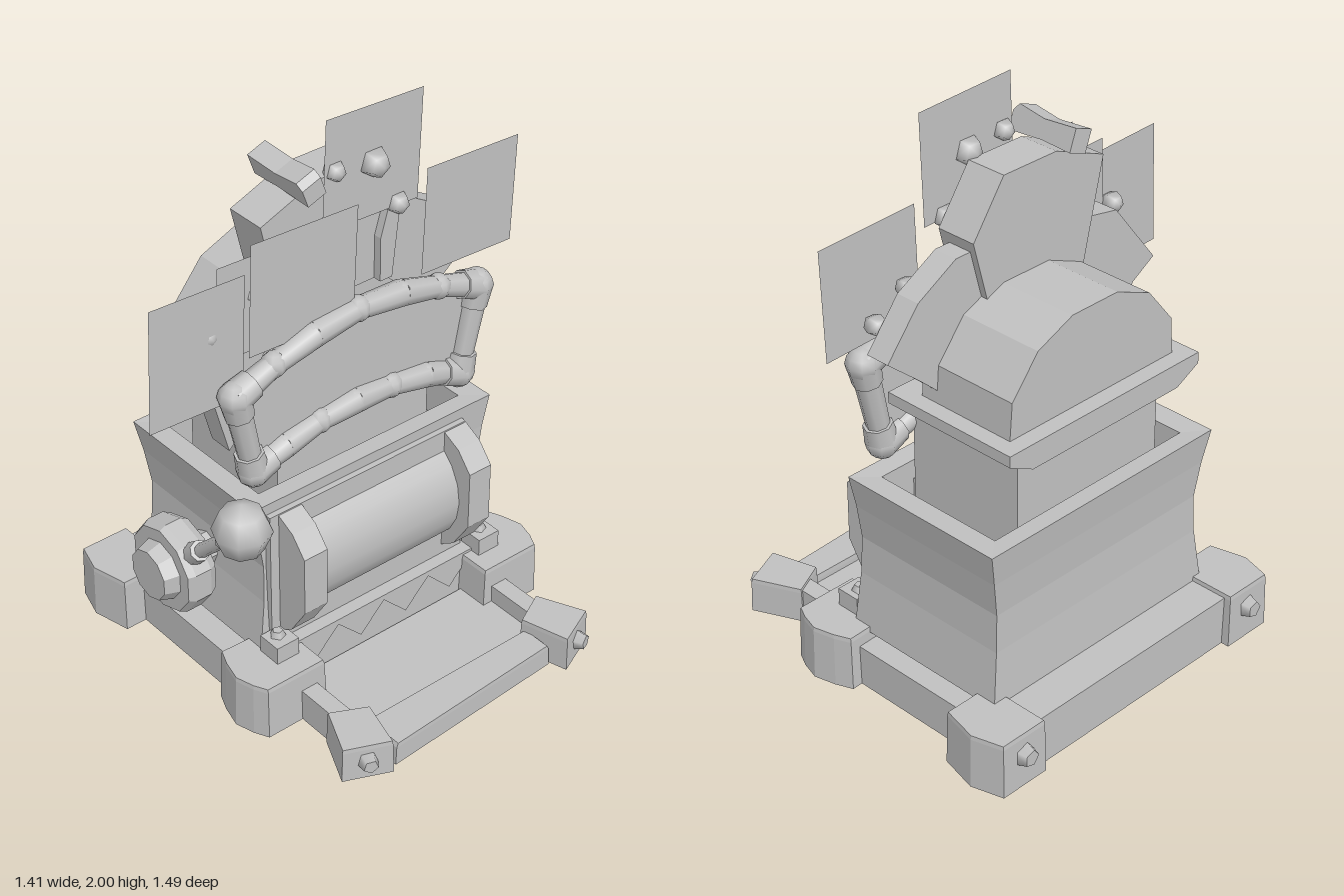
import * as THREE from 'three';

const grey = new THREE.MeshStandardMaterial({ color: 0xc0c0c0, side: THREE.DoubleSide });
grey.name = 'plainGrey';

export function createModel() {
  const root = new THREE.Group();
  const add = (name, geo) => {
    const m = new THREE.Mesh(geo, grey);
    m.name = name;
    root.add(m);
    return m;
  };
  const flat = (g) => {
    const f = g.index ? g.toNonIndexed() : g;
    f.computeVertexNormals();
    return f;
  };
  // Box from its limits
  const box = (name, x0, x1, y0, y1, z0, z1) => add(name,
    new THREE.BoxGeometry(x1 - x0, y1 - y0, z1 - z0).translate((x0 + x1) / 2, (y0 + y1) / 2, (z0 + z1) / 2));
  // Stack of equal-length rings of [x, y, z], open below and capped above
  const loft = (rings) => {
    const n = rings[0].length, pos = [];
    const tri = (...p) => p.forEach((v) => pos.push(...v));
    for (let r = 0; r < rings.length - 1; r++) for (let i = 0; i < n; i++) {
      const j = (i + 1) % n, a = rings[r], b = rings[r + 1];
      tri(a[i], a[j], b[j], a[i], b[j], b[i]);
    }
    const hi = rings[rings.length - 1];
    for (let i = 1; i < n - 1; i++) tri(hi[0], hi[i], hi[i + 1]);
    const g = new THREE.BufferGeometry();
    g.setAttribute('position', new THREE.Float32BufferAttribute(pos, 3));
    g.computeVertexNormals();
    return g;
  };
  // Upright hollow prism over an [x, z] outline, narrower at the top
  const prism = (name, outline, y0, y1, taper) => {
    let area = 0;
    outline.forEach((p, i) => {
      const q = outline[(i + 1) % outline.length];
      area += p[0] * q[1] - q[0] * p[1];
    });
    const o = area > 0 ? [...outline].reverse() : outline;
    const cx = o.reduce((s, p) => s + p[0], 0) / o.length, cz = o.reduce((s, p) => s + p[1], 0) / o.length;
    const ring = (y, k) => o.map(([x, z]) => [cx + (x - cx) * k, y, cz + (z - cz) * k]);
    return add(name, loft([ring(y0, 1), ring(y1 - 0.015, taper), ring(y1, taper - 0.02)]));
  };
  // Hollow rail resting on the ground
  const rail = (name, x0, x1, z0, z1, h) => {
    const ring = (y) => [[x0, y, z1], [x1, y, z1], [x1, y, z0], [x0, y, z0]];
    return add(name, loft([ring(0), ring(h)]));
  };
  // Outline of [z, y] points extruded along x
  const across = (name, pts, x0, x1) => add(name,
    new THREE.ExtrudeGeometry(new THREE.Shape(pts.map(([z, y]) => new THREE.Vector2(-z, y))),
      { depth: x1 - x0, bevelEnabled: false }).rotateY(Math.PI / 2).translate(x0, 0, 0));
  const rod = (name, a, b, r0, r1, sides = 8) => {
    const d = b.clone().sub(a);
    const m = add(name, new THREE.CylinderGeometry(r1, r0, d.length(), sides));
    m.position.copy(a).addScaledVector(d, 0.5);
    m.quaternion.setFromUnitVectors(new THREE.Vector3(0, 1, 0), d.normalize());
    return m;
  };
  const V = (x, y, z) => new THREE.Vector3(x, y, z);
  const CZ = -0.06; // middle of the machine in z

  // Base frame: posts, rails and bolts
  for (const s of [1, -1]) {
    const Z = (d) => CZ + s * d;
    prism('rearPost', [[-0.675, Z(0.635)], [-0.56, Z(0.668)], [-0.42, Z(0.635)], [-0.42, Z(0.445)], [-0.675, Z(0.445)]], 0, 0.2, 0.97);
    prism('frontPost', [[0.06, Z(0.595)], [0.12, Z(0.62)], [0.2, Z(0.64)], [0.27, Z(0.62)], [0.32, Z(0.595)],
      [0.32, Z(0.35)], [0.07, Z(0.35)]], 0, 0.2, 0.96);
    rail('sideRail', -0.44, 0.09, Math.min(Z(0.43), Z(0.555)), Math.max(Z(0.43), Z(0.555)), 0.15);
    rod('rearBolt', V(-0.66, 0.12, Z(0.54)), V(-0.705, 0.12, Z(0.54)), 0.045, 0.03, 5);
    box('boltBlock', 0.145, 0.235, 0.19, 0.265, Z(0.445) - 0.045, Z(0.445) + 0.045);
    rod('topBolt', V(0.18, 0.26, Z(0.445)), V(0.18, 0.287, Z(0.445)), 0.03, 0.018, 5);
    // Tray corners
    prism('trayPost', [[0.455, Z(0.465)], [0.63, Z(0.545)], [0.7, Z(0.385)], [0.52, Z(0.335)]], 0, 0.13, 0.97);
    rod('trayBolt', V(0.64, 0.07, Z(0.455)), V(0.695, 0.07, Z(0.477)), 0.042, 0.026, 5);
    rail('trayRail', 0.28, 0.52, Math.min(Z(0.39), Z(0.455)), Math.max(Z(0.39), Z(0.455)), 0.12);
  }
  rail('rearRail', -0.645, -0.5, -0.53, 0.4, 0.185);
  box('trayFloor', 0.2, 0.55, 0.035, 0.055, -0.45, 0.33);
  prism('trayLip', [[0.53, -0.42], [0.64, -0.42], [0.68, 0.3], [0.53, 0.3]], 0, 0.085, 0.99);

  // Mouth plate above the tray, with a row of teeth
  box('mouthPlate', 0.14, 0.19, 0.02, 0.21, -0.46, 0.34);
  const teeth = [[0.34, 0.21]];
  for (let i = 0; i <= 8; i++) teeth.push([0.34 - i * 0.1, i % 2 ? 0.09 : 0.19]);
  teeth.push([-0.46, 0.21]);
  across('teeth', teeth, 0.19, 0.198);

  // Hollow waisted cabinet
  const ring = (x0, x1, hz, y) => [[x0, y, CZ - 0.01 + hz], [x1, y, CZ - 0.01 + hz], [x1, y, CZ - 0.01 - hz], [x0, y, CZ - 0.01 - hz]];
  add('cabinet', loft([
    ring(-0.505, 0.14, 0.495, 0.18), ring(-0.49, 0.13, 0.47, 0.38), ring(-0.487, 0.125, 0.465, 0.52),
    ring(-0.497, 0.125, 0.485, 0.65), ring(-0.512, 0.13, 0.51, 0.77),
    ring(-0.445, 0.06, 0.43, 0.765), ring(-0.445, 0.06, 0.43, 0.62),
  ]));

  // Front drum between two cheeks
  box('frontPanel', 0.08, 0.15, 0.2, 0.73, -0.45, 0.385);
  add('drum', new THREE.CylinderGeometry(0.228, 0.228, 0.63, 20).rotateX(Math.PI / 2).translate(0.005, 0.475, -0.047));
  for (const z of [0.255, -0.455]) {
    const cheek = new THREE.Shape([[0.08, 0.73], [0.14, 0.73], [0.22, 0.69], [0.28, 0.62], [0.28, 0.4], [0.21, 0.29],
      [0.15, 0.25], [0.08, 0.25]].map((p) => new THREE.Vector2(...p)));
    add('cheek', new THREE.ExtrudeGeometry(cheek, { depth: 0.095, bevelEnabled: false }).translate(0, 0, z));
  }

  // Neck, cornice and faceted hood
  box('neck', -0.415, 0.045, 0.6, 1.01, -0.37, 0.27);
  across('cornice', [[0.37, 1.09], [0.37, 1.05], [0.27, 1], [-0.39, 1], [-0.49, 1.05], [-0.49, 1.09]], -0.5, 0.03);
  const hood = [[0.37, 1.085], [0.36, 1.22], [0.25, 1.355], [0.1, 1.418]];
  across('hood', [...hood.map(([d, y]) => [CZ + d, y]), ...hood.reverse().map(([d, y]) => [CZ - d, y])], -0.44, -0.06);

  // Crest: keystone, tilted side wings and a small wavy cap
  across('keystone', [[0.2, 1.34], [0.285, 1.7], [0.07, 1.785], [-0.16, 1.785], [-0.29, 1.6], [-0.22, 1.34]], -0.15, 0);
  across('leftWing', [[0.18, 1.3], [0.22, 1.49], [0.38, 1.46], [0.57, 1.22], [0.47, 1.16], [0.4, 0.9], [0.3, 1.0], [0.28, 1.18]], -0.125, -0.035);
  across('rightWing', [[-0.2, 1.34], [-0.26, 1.56], [-0.34, 1.56], [-0.5, 1.47], [-0.63, 1.31], [-0.5, 1.2], [-0.39, 1.1], [-0.3, 1.25]], -0.125, -0.035);
  const cap = new THREE.Shape([[-0.19, -0.04], [-0.07, -0.035], [0.07, -0.045], [0.07, 0.02], [0.05, 0.045], [-0.06, 0.03],
    [-0.19, 0.04]].map((p) => new THREE.Vector2(...p)));
  add('crestCap', new THREE.ExtrudeGeometry(cap, { depth: 0.075, bevelEnabled: false })
    .translate(0, 0, -0.0375).rotateX(0.35).translate(0, 1.81, 0.135));

  // Bulbs along the crest: x, y, z, radius
  [[0, 1.37, -0.56, 0.038], [0, 1.45, -0.43, 0.036], [0.03, 1.61, -0.235, 0.042], [0.04, 1.795, -0.13, 0.053],
    [0.03, 1.815, 0.02, 0.038], [0.03, 1.6, 0.21, 0.036], [0, 1.49, 0.33, 0.034], [0, 1.4, 0.5, 0.038]].forEach(([x, y, z, r]) =>
    add('bulb', new THREE.SphereGeometry(r, 5, 4).rotateZ(Math.PI / 2).translate(x, y, z)));

  // Thin upright cards, slightly tilted: x, middle y, middle z, width, height
  [[0.03, 1.37, 0.56, 0.36, 0.44], [0.02, 1.46, 0.3, 0.35, 0.34], [0.07, 1.5, 0.175, 0.42, 0.4],
    [0.035, 1.8, -0.13, 0.39, 0.39], [0.04, 1.49, -0.54, 0.39, 0.39]].forEach(([x, y, z, w, h]) =>
    add('card', new THREE.PlaneGeometry(w, h).rotateZ(-0.04).rotateY(Math.PI / 2).translate(x, y, z)));
  across('cardStem', [[-0.17, 1.34], [-0.17, 1.5], [-0.2, 1.6], [-0.25, 1.6], [-0.22, 1.34]], 0, 0.03);

  // Arched sign: panel and a jointed tube frame
  const top = [[0.455, 1.19], [0.3, 1.25], [0.14, 1.295], [-0.04, 1.315], [-0.22, 1.3], [-0.38, 1.26], [-0.55, 1.2]];
  const low = [[-0.48, 0.885], [-0.33, 0.935], [-0.18, 0.96], [-0.03, 0.968], [0.12, 0.955], [0.26, 0.925], [0.39, 0.885]];
  const loop = [...top, ...low];
  across('signPanel', loop, 0.06, 0.075);
  loop.forEach(([z, y], i) => {
    const [z2, y2] = loop[(i + 1) % loop.length];
    const a = V(0.075, y, z), b = V(0.075, y2, z2), corner = i % 7 === 0 || i % 7 === 6;
    rod('signTube', a, b, i % 2 ? 0.038 : 0.046, i % 2 ? 0.046 : 0.038);
    add('signJoint', new THREE.SphereGeometry(corner ? 0.058 : 0.045, 8, 6).translate(0.075, y, z));
    // Sleeves reaching out of each corner
    if (corner) {
      for (const k of [1, loop.length - 1]) {
        const [zk, yk] = loop[(i + k) % loop.length];
        const d = V(0, yk - y, zk - z).setLength(0.075);
        rod('signSleeve', a, a.clone().add(d), 0.056, 0.05);
      }
    }
  });

  // Side lever with its hub and ball
  const disc = (name, r0, r1, z0, z1, sides) => add(name, flat(new THREE.CylinderGeometry(r1, r0, z1 - z0, sides)
    .rotateX(Math.PI / 2).translate(-0.18, 0.425, (z0 + z1) / 2)));
  disc('hubAxle', 0.06, 0.06, 0.38, 0.48, 8);
  disc('hub', 0.15, 0.168, 0.47, 0.5, 10);
  disc('hub', 0.168, 0.168, 0.5, 0.56, 10);
  disc('hub', 0.168, 0.155, 0.56, 0.585, 10);
  disc('hubBoss', 0.11, 0.092, 0.58, 0.638, 10);
  rod('leverCollar', V(-0.09, 0.51, 0.53), V(-0.02, 0.575, 0.54), 0.042, 0.036);
  rod('leverArm', V(-0.05, 0.545, 0.535), V(0.14, 0.725, 0.54), 0.026, 0.022);
  rod('leverCollar', V(0.105, 0.69, 0.54), V(0.15, 0.735, 0.54), 0.03, 0.036);
  add('leverBall', new THREE.SphereGeometry(0.1, 8, 4).translate(0.2, 0.79, 0.535));

  return root;
}
